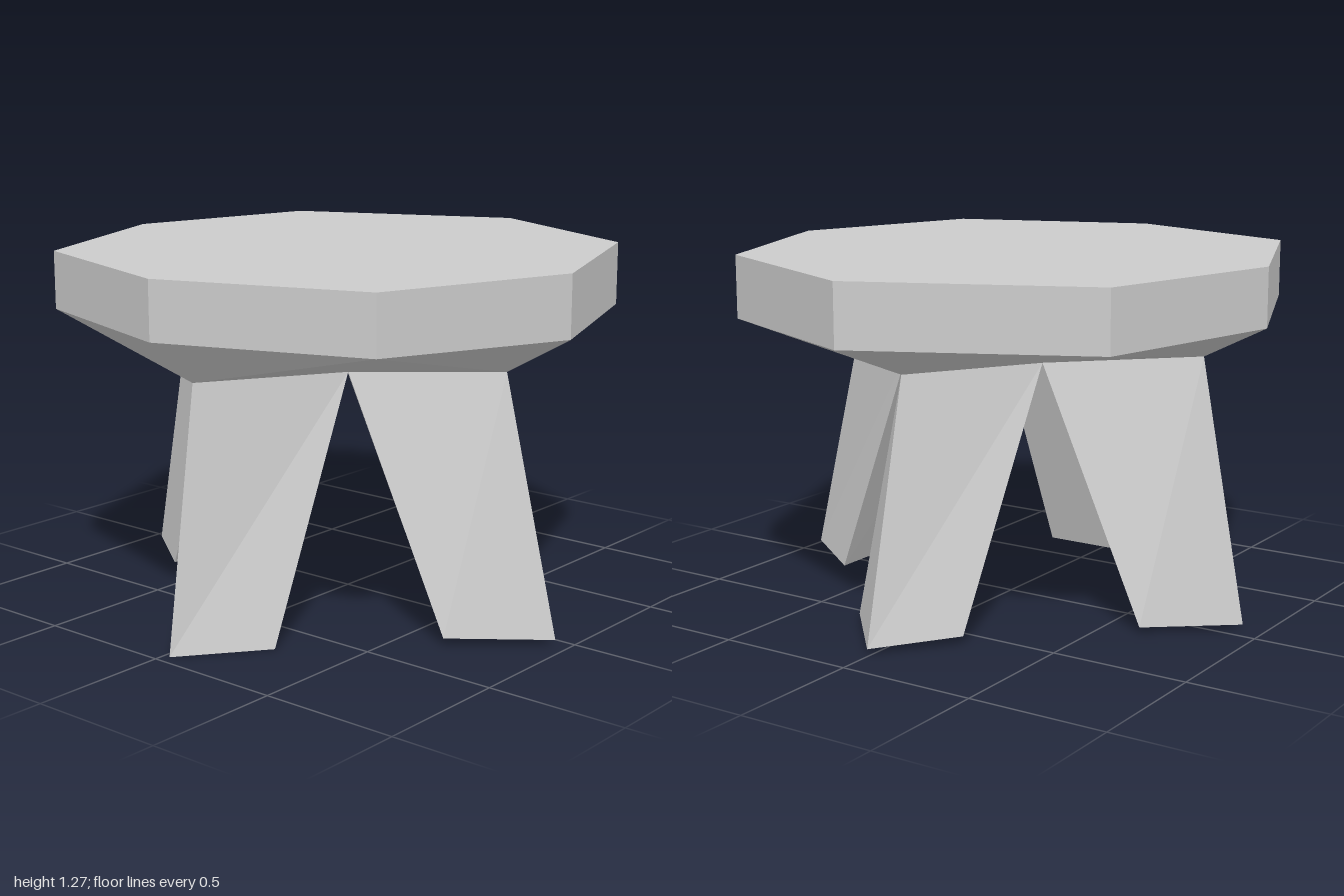
import * as THREE from 'three';

const material = new THREE.MeshStandardMaterial({ color: 0xcccccc, flatShading: true });

// Joins rings of corners from bottom to top; rings run anticlockwise seen from above.
// Odd quads of a band listed in `alternate` are split along the other diagonal.
function loft(name, rings, { bottomCap = null, topCap = false, alternate = false } = {}) {
  const n = rings[0].length;
  const index = [];
  for (let r = 0; r < rings.length - 1; r++) {
    for (let i = 0; i < n; i++) {
      const j = (i + 1) % n;
      const a = r * n + i, b = r * n + j, c = a + n, d = b + n;
      if (alternate && i % 2) index.push(a, b, c, b, d, c);
      else index.push(a, b, d, a, d, c);
    }
  }
  if (bottomCap) {
    for (let i = 1; i < bottomCap.length - 1; i++) index.push(bottomCap[0], bottomCap[i + 1], bottomCap[i]);
  }
  if (topCap) {
    const o = (rings.length - 1) * n;
    for (let i = 1; i < n - 1; i++) index.push(o, o + i, o + i + 1);
  }
  const indexed = new THREE.BufferGeometry();
  indexed.setAttribute('position', new THREE.Float32BufferAttribute(rings.flat(2), 3));
  indexed.setIndex(index);
  const geometry = indexed.toNonIndexed();
  geometry.computeVertexNormals();
  const mesh = new THREE.Mesh(geometry, material);
  mesh.name = name;
  return mesh;
}

export function createModel() {
  const stool = new THREE.Group();
  stool.name = 'stool';

  // Slightly uneven octagonal rim, from the front round by +x: x, z, lower y
  const outline = [
    [0.01, 1.0, 1.07], [0.73, 0.745, 1.07], [0.98, 0.05, 1.057], [0.71, -0.67, 1.05],
    [0.01, -1.0, 1.055], [-0.79, -0.645, 1.06], [-0.98, 0.065, 1.067], [-0.69, 0.775, 1.07],
  ];
  const rimTop = outline.map(([x, z]) => [x, 1.275, z]);
  const rimLow = outline.map(([x, z, y]) => [x, y, z]);

  // Underside star: leg tips alternate with the inner corners between legs
  const star = [
    [0.02, 0.91, 0.82], [0.30, 0.91, 0.36], [0.74, 0.92, 0.06], [0.30, 0.92, -0.22],
    [0.01, 0.92, -0.65], [-0.28, 0.925, -0.23], [-0.75, 0.95, 0.06], [-0.27, 0.92, 0.36],
  ];
  stool.add(loft('seat', [star, rimLow, rimTop], { bottomCap: [1, 3, 5, 7], topCap: true, alternate: true }));

  // Splayed three-sided legs; each foot lists its tip, next and previous corner
  const feet = {
    frontLeg: [[0.025, 0, 0.96], [0.245, 0, 0.68], [-0.20, 0, 0.68]],
    leftLeg: [[0.96, 0.025, 0.06], [0.66, 0.025, -0.165], [0.66, 0.025, 0.29]],
    backLeg: [[0.01, 0.02, -0.86], [-0.20, 0.03, -0.60], [0.245, 0.03, -0.60]],
    rightLeg: [[-0.925, 0.02, 0.06], [-0.64, 0.02, 0.27], [-0.64, 0.02, -0.165]],
  };
  Object.entries(feet).forEach(([name, foot], k) => {
    const top = [star[2 * k], star[2 * k + 1], star[(2 * k + 7) % 8]];
    stool.add(loft(name, [foot, top], { bottomCap: [0, 1, 2] }));
  });

  return stool;
}
